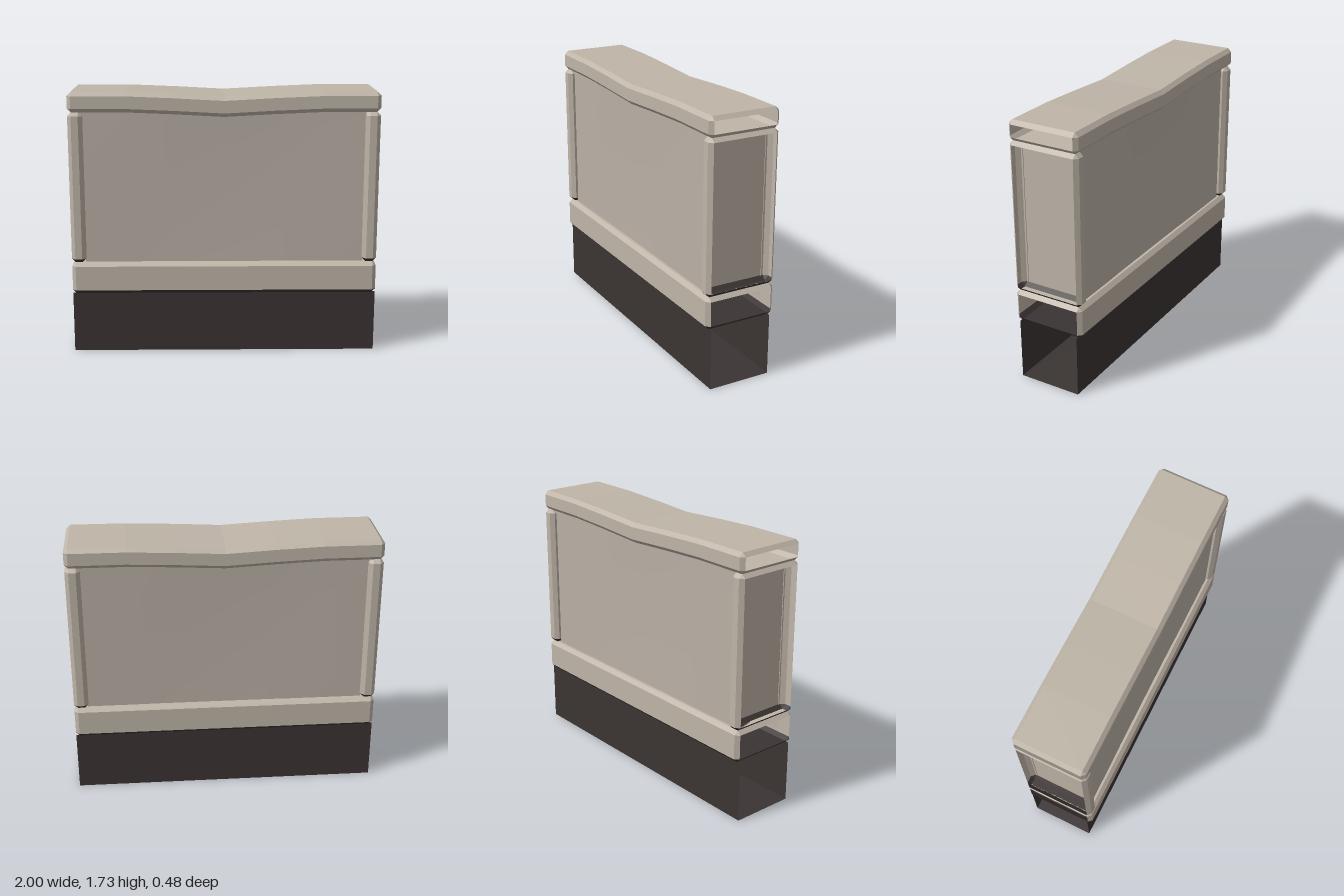
import * as THREE from 'three';

const mat = (name, color) => {
  const m = new THREE.MeshStandardMaterial({ color, side: THREE.DoubleSide });
  m.name = name;
  return m;
};

// Chamfered bar along x with an open far end; its underside uses the second material.
// xs: stations along the bar, heightAt: centre height at x, h and d: half height and depth
function chamferedBar(xs, heightAt, h, d, c, capStart, darkUnderside) {
  const section = [
    [-h, d - c], [c - h, d], [h - c, d], [h, d - c],
    [h, c - d], [h - c, -d], [c - h, -d], [-h, c - d],
  ];
  const rings = xs.map((x, i) => section.map(([y, z]) => {
    const atEnd = i === 0 || i === xs.length - 1;
    return atEnd
      ? [x, heightAt(x) + Math.sign(y) * (h - c), Math.sign(z) * (d - c)]
      : [x, heightAt(x) + y, z];
  }));
  const light = [], dark = [];
  for (let i = 0; i < rings.length - 1; i++) {
    for (let k = 0; k < 8; k++) {
      const n = (k + 1) % 8;
      const [a, b] = [rings[i][k], rings[i][n]];
      const [e, f] = [rings[i + 1][k], rings[i + 1][n]];
      const under = k === 0 || k >= 6;
      (darkUnderside && under ? dark : light).push(...a, ...e, ...f, ...a, ...f, ...b);
    }
  }
  if (capStart) {
    const r = rings[0];
    light.push(...r[0], ...r[2], ...r[4], ...r[0], ...r[4], ...r[6]);
  }
  const geo = new THREE.BufferGeometry();
  geo.setAttribute('position', new THREE.Float32BufferAttribute([...light, ...dark], 3));
  geo.addGroup(0, light.length / 3, 0);
  if (dark.length) geo.addGroup(light.length / 3, dark.length / 3, 1);
  geo.computeVertexNormals();
  return geo;
}

export function createModel() {
  const model = new THREE.Group();
  model.name = 'wallSegment';
  const stone = mat('paleStone', 0xbfb5a8);
  const plaster = mat('wallPlaster', 0xbab0a6);
  const dark = mat('darkFoundation', 0x3b3433);
  const add = (name, geo, material, parent = model) => {
    const mesh = new THREE.Mesh(geo, material);
    mesh.name = name;
    parent.add(mesh);
    return mesh;
  };

  // Foundation: two long sides and a floor, open at both ends
  const zBase = 0.21, baseTop = 0.405;
  for (const s of [1, -1]) {
    const side = add(s > 0 ? 'foundationFront' : 'foundationBack', new THREE.PlaneGeometry(2, baseTop), dark);
    side.position.set(0, baseTop / 2, s * zBase);
    if (s < 0) side.rotation.y = Math.PI;
  }
  add('foundationFloor', new THREE.PlaneGeometry(2, zBase * 2).rotateX(Math.PI / 2), dark);

  // Plinth band
  const c = 0.025;
  add('plinthBand', chamferedBar([-1, -1 + c, 1 - c, 1], () => 0.509, 0.106, 0.24, c, false, true), [stone, dark]);

  // Wall faces, very slightly hollowed in the middle
  for (const s of [1, -1]) {
    const geo = new THREE.PlaneGeometry(1.82, 1.12, 6, 4);
    const p = geo.attributes.position;
    for (let i = 0; i < p.count; i++) {
      const u = Math.abs(p.getX(i)) / 0.91, v = Math.abs(p.getY(i)) / 0.56;
      if (u < 0.6 && v < 0.6) p.setZ(i, -0.006 * (1 - u * u));
    }
    geo.computeVertexNormals();
    const wall = add(s > 0 ? 'wallFront' : 'wallBack', geo, plaster);
    wall.position.set(0, 1.04, s * 0.2);
    if (s < 0) wall.rotation.y = Math.PI;
  }

  // End pillars, hollow towards the outside
  const pillarGeo = chamferedBar([0.905, 0.905 + c, 1 - c, 1], () => 1.11, 0.495, 0.24, c, true, true);
  for (const s of [1, -1]) {
    const pillar = add(s > 0 ? 'leftPillar' : 'rightPillar', pillarGeo, [stone, dark]);
    if (s < 0) pillar.rotation.y = Math.PI;
  }

  // Sagging coping along the top
  const sag = (x) => 1.668 - 0.03 * Math.pow(Math.max(0, 1 - Math.abs(x) / 0.64), 1.25);
  const stations = [-1, -1 + c, -0.62, -0.32, 0, 0.32, 0.62, 1 - c, 1];
  add('coping', chamferedBar(stations, sag, 0.065, 0.24, c, false, false), [stone]);

  return model;
}
